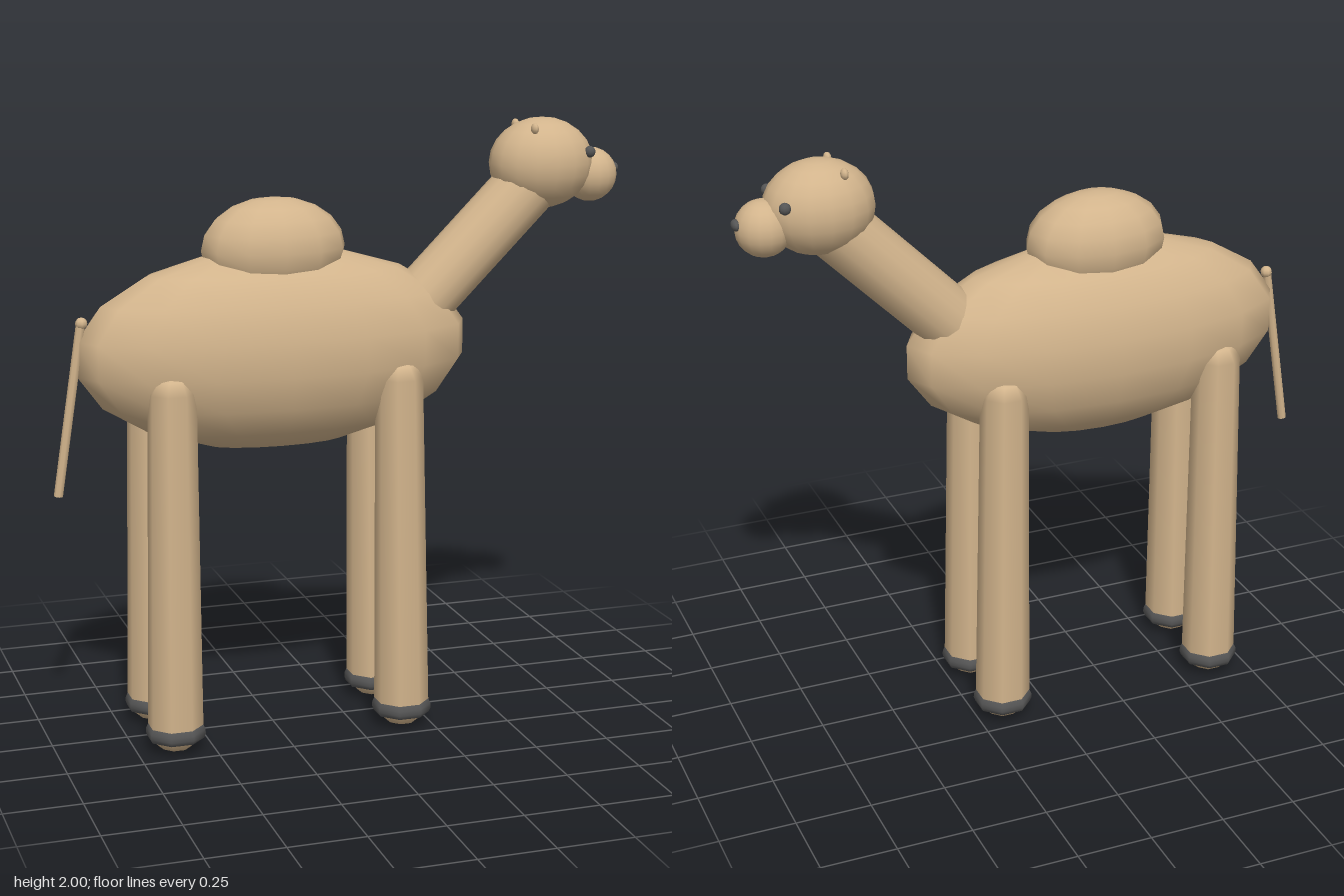
import * as THREE from 'three';

export function createModel() {
  const model = new THREE.Group();
  model.name = 'camel';
  const coat = new THREE.MeshStandardMaterial({ name: 'tan coat', color: 0xd2b48c });
  const dark = new THREE.MeshStandardMaterial({ name: 'dark grey', color: 0x555555 });

  const add = (name, geometry, material, parent = model) => {
    const mesh = new THREE.Mesh(geometry, material);
    mesh.name = name;
    parent.add(mesh);
    return mesh;
  };

  // Ellipsoid at a centre with three radii
  const ellipsoid = (name, centre, radii, material, w = 16, h = 12) => {
    const mesh = add(name, new THREE.SphereGeometry(1, w, h), material);
    mesh.position.set(...centre);
    mesh.scale.set(...radii);
    return mesh;
  };

  // Tapered rod between two points
  const rod = (name, from, to, rFrom, rTo, sides) => {
    const a = new THREE.Vector3(...from), b = new THREE.Vector3(...to);
    const dir = b.clone().sub(a);
    const mesh = add(name, new THREE.CylinderGeometry(rTo, rFrom, dir.length(), sides), coat);
    mesh.position.copy(a).add(b).multiplyScalar(0.5);
    mesh.quaternion.setFromUnitVectors(new THREE.Vector3(0, 1, 0), dir.normalize());
    return mesh;
  };

  // Eight-sided turned form with flats facing the axes; lean shifts x with height
  const turned = (profile, leanX, leanZ) => {
    const k = 1 / Math.cos(Math.PI / 8);
    const g = new THREE.LatheGeometry(profile.map(([r, y]) => new THREE.Vector2(r * k, y)), 8, Math.PI / 8);
    const p = g.attributes.position;
    for (let i = 0; i < p.count; i++) {
      const y = p.getY(i);
      p.setX(i, p.getX(i) + leanX * y);
      p.setZ(i, p.getZ(i) + leanZ * y);
    }
    return g;
  };

  // Trunk, hump and neck
  ellipsoid('body', [-0.233, 1.285, 0], [0.66, 0.33, 0.24], coat, 16, 9);
  ellipsoid('hump', [-0.235, 1.61, 0], [0.24, 0.165, 0.157], coat, 12, 10);
  rod('neck', [0.22, 1.36, 0], [0.66, 1.80, 0], 0.104, 0.104, 16);

  // Head and muzzle
  ellipsoid('head', [0.687, 1.85, 0], [0.177, 0.15, 0.143], coat, 16, 12);
  ellipsoid('muzzle', [0.863, 1.805, 0], [0.09, 0.09, 0.088], coat, 16, 12);
  ellipsoid('nose', [0.948, 1.825, 0], [0.015, 0.018, 0.027], dark, 10, 8);
  for (const side of [1, -1]) {
    const label = side > 0 ? 'front' : 'back';
    ellipsoid(label + 'Eye', [0.82, 1.89, side * 0.094], [0.019, 0.019, 0.018], dark, 10, 8);
    ellipsoid(label + 'Ear', [0.628, 1.97, side * 0.083], [0.013, 0.018, 0.018], coat, 8, 6);
  }

  // Legs with rounded ends and a dark hoof ring
  const legProfile = [[0, 0.004], [0.045, 0.014], [0.078, 0.045], [0.084, 0.08],
    [0.072, 1.19], [0.05, 1.232], [0, 1.255]];
  const hoofProfile = [[0.076, 0.042], [0.086, 0.046], [0.091, 0.06], [0.09, 0.075], [0.082, 0.095], [0.07, 0.098]];
  for (const [x, lean, end] of [[-0.622, 0.008, 'Rear'], [0.157, -0.012, 'Fore']]) {
    for (const side of [1, -1]) {
      const leg = new THREE.Group();
      leg.name = (side > 0 ? 'front' : 'back') + end + 'Leg';
      leg.position.set(x, 0, side * 0.15);
      add('shank', turned(legProfile, lean, side * -0.003), coat, leg);
      add('hoof', turned(hoofProfile, lean, 0), dark, leg);
      model.add(leg);
    }
  }

  // Hanging tail with a round root
  rod('tail', [-0.868, 1.40, 0], [-0.955, 0.845, 0], 0.015, 0.015, 8);
  ellipsoid('tailRoot', [-0.866, 1.40, 0], [0.02, 0.02, 0.02], coat, 8, 6);

  return model;
}
